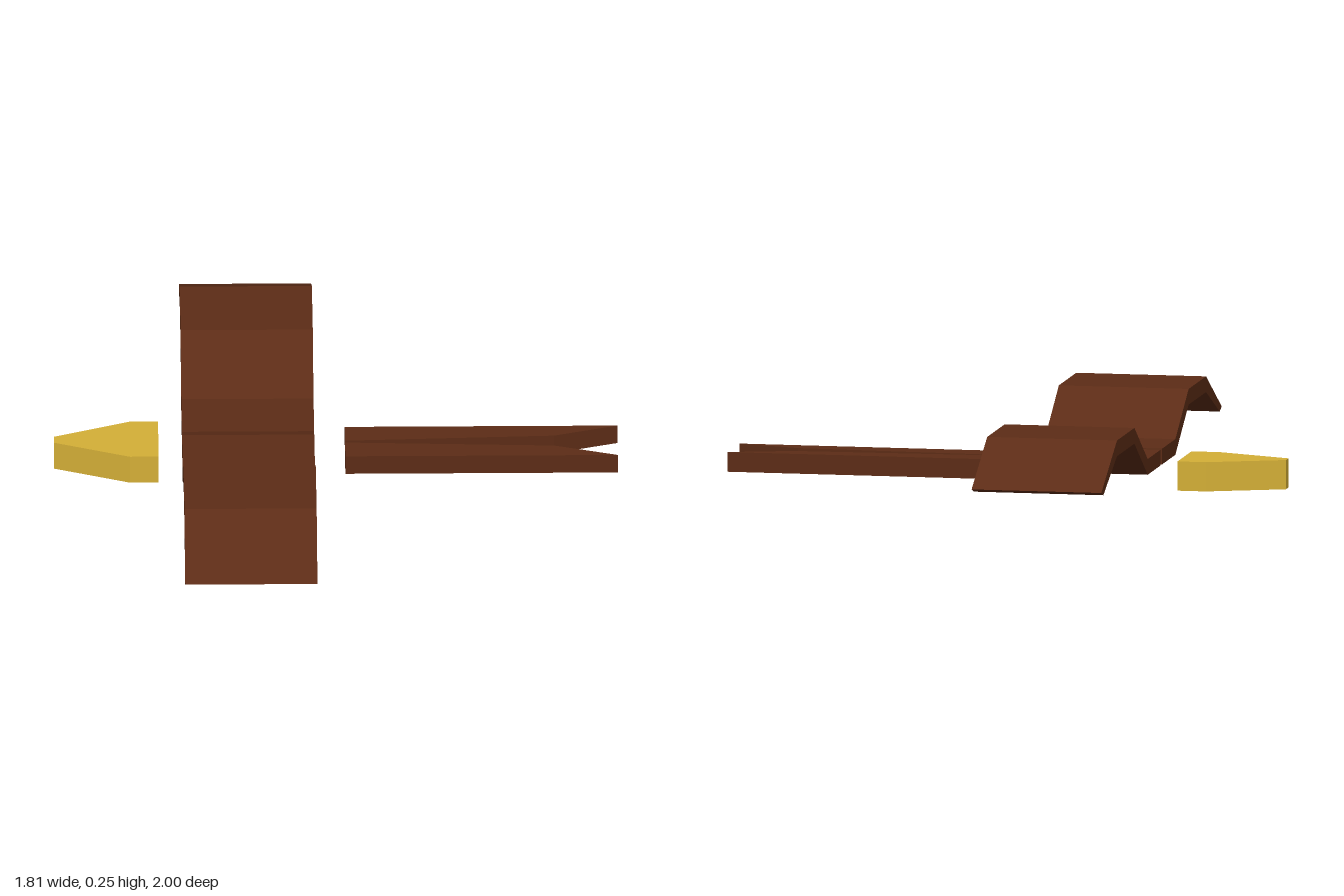
import * as THREE from 'three';

const brown = new THREE.MeshStandardMaterial({ color: 0x5c2c16, flatShading: true });
const gold = new THREE.MeshStandardMaterial({ color: 0xd4af37, flatShading: true });

// Straight prism from a closed outline
function prism(points, depth) {
  const shape = new THREE.Shape(points.map(([a, b]) => new THREE.Vector2(a, b)));
  return new THREE.ExtrudeGeometry(shape, { depth, bevelEnabled: false });
}

// Outline of [x, z] points seen from above, raised from y0 to y1
function slab(name, points, y0, y1, material) {
  const geo = prism(points.map(([x, z]) => [x, -z]), y1 - y0);
  geo.rotateX(-Math.PI / 2).translate(0, y0, 0);
  const mesh = new THREE.Mesh(geo, material);
  mesh.name = name;
  return mesh;
}

// Bent wing: [z, y] side profile swept along x
function wing(name, side, inner) {
  const profile = [
    [inner, 0.065], [0.23, 0.065], [0.45, 0.197], [0.74, 0.197], [0.966, 0.102],
    [1, 0.114], [0.74, 0.248], [0.45, 0.248], [0.23, 0.116], [inner, 0.116],
  ];
  const geo = prism(profile.map(([z, y]) => [z * side, y]), 0.425);
  geo.rotateY(-Math.PI / 2).translate(-0.071, 0, 0);
  const mesh = new THREE.Mesh(geo, brown);
  mesh.name = name;
  return mesh;
}

// Tapering tail feather, notched toward its tip
function tailFeather(name, side) {
  const z = (d) => side * d - 0.004;
  const outline = [[0.028, z(0.006)], [0.7, z(0.033)], [0.905, z(0.098)], [0.028, z(0.098)]];
  return slab(name, outline, 0.018, 0.082, brown);
}

export function createModel() {
  const model = new THREE.Group();
  model.name = 'birdParts';

  // Beak with a blunt tip toward -x
  const beak = [
    [-0.572, -0.12], [-0.665, -0.12], [-0.908, -0.022],
    [-0.908, 0.017], [-0.665, 0.113], [-0.572, 0.113],
  ];
  model.add(slab('beak', beak, 0, 0.095, gold));

  // Wings and tail
  model.add(wing('frontWing', 1, 0.009), wing('backWing', -1, 0.013));
  model.add(tailFeather('frontTailFeather', 1), tailFeather('backTailFeather', -1));

  return model;
}
